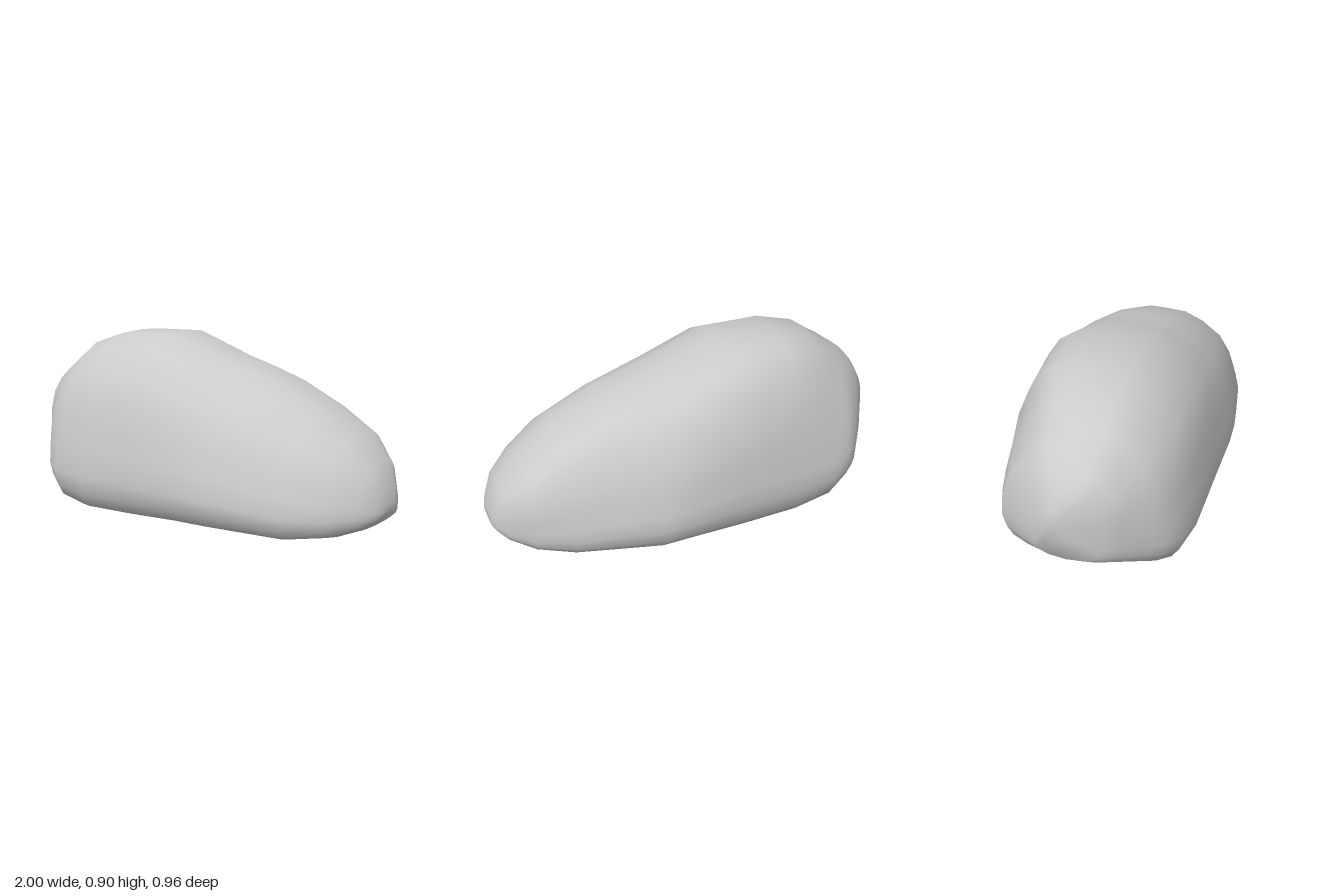
import * as THREE from 'three';

// Stations along the boulder: x, bottom y, top y, back z, front z,
// sideways lean of the top, narrowing of the top
const STATIONS = [
  [-1.0, 0.34, 0.52, -0.13, -0.01, 0.02, 0],
  [-0.96, 0.21, 0.61, -0.2, 0.13, 0.04, 0.05],
  [-0.91, 0.165, 0.67, -0.28, 0.21, 0.05, 0.1],
  [-0.81, 0.1, 0.745, -0.41, 0.33, 0.05, 0.22],
  [-0.76, 0.07, 0.775, -0.435, 0.38, 0.045, 0.25],
  [-0.67, 0.03, 0.84, -0.465, 0.43, 0.03, 0.22],
  [-0.47, 0.0, 0.9, -0.472, 0.46, 0, 0.05],
  [-0.17, 0.005, 0.9, -0.48, 0.47, 0, 0],
  [0.1, 0.02, 0.8, -0.485, 0.48, 0, 0.08],
  [0.26, 0.02, 0.755, -0.48, 0.475, 0, 0.14],
  [0.42, 0.02, 0.705, -0.425, 0.455, -0.01, 0.14],
  [0.66, 0.02, 0.59, -0.34, 0.42, -0.03, 0.08],
  [0.83, 0.04, 0.475, -0.255, 0.335, -0.06, 0],
  [0.94, 0.08, 0.36, -0.16, 0.235, -0.04, 0],
  [0.985, 0.115, 0.25, -0.09, 0.15, -0.02, 0],
  [1.0, 0.14, 0.19, -0.06, 0.1, 0, 0],
];

// Cross-section, from the flat underside up the front, over the crown and down the back:
// sideways -1..1, height 0..1
const PROFILE = [
  [0, 0], [0.5, 0], [0.87, 0.04], [0.95, 0.11], [1, 0.21], [0.96, 0.36], [0.92, 0.48], [0.87, 0.62],
  [0.75, 0.78], [0.5, 0.915], [0.24, 0.99], [-0.05, 1], [-0.32, 1], [-0.54, 0.96], [-0.67, 0.91],
  [-0.79, 0.81], [-0.92, 0.64], [-0.96, 0.46], [-0.99, 0.32], [-1, 0.21], [-0.95, 0.11], [-0.87, 0.04], [-0.5, 0],
];

function boulderGeometry() {
  const n = PROFILE.length, last = STATIONS.length - 1;
  const positions = [], index = [];
  for (const [x, y0, y1, z0, z1, lean, narrow] of STATIONS) {
    // Toward the ends the section becomes rounder, more so at the tall end
    const round = (x < 0 ? 0.4 : 0.15) * THREE.MathUtils.smoothstep(Math.abs(x), 0.6, 1);
    for (const [u, v] of PROFILE) {
      const a = Math.atan2(2 * v - 1, u);
      const su = THREE.MathUtils.lerp(u, Math.cos(a), round);
      const sv = THREE.MathUtils.lerp(v, 0.5 + 0.5 * Math.sin(a), round);
      const halfWidth = (z1 - z0) / 2 * (1 - narrow * sv * sv);
      positions.push(x, y0 + (y1 - y0) * sv, (z0 + z1) / 2 + su * halfWidth + lean * sv * sv);
    }
  }
  // Centre points for the two small end facets
  for (const i of [0, last]) {
    const [x, y0, y1, z0, z1] = STATIONS[i];
    positions.push(x, (y0 + y1) / 2, (z0 + z1) / 2);
  }
  const startCentre = (last + 1) * n, endCentre = startCentre + 1;
  for (let j = 0; j < n; j++) {
    const k = (j + 1) % n;
    for (let i = 0; i < last; i++) {
      const a = i * n + j, b = a + n, c = (i + 1) * n + k, d = i * n + k;
      index.push(a, b, c, a, c, d);
    }
    index.push(startCentre, j, k, endCentre, last * n + k, last * n + j);
  }
  const geometry = new THREE.BufferGeometry();
  geometry.setAttribute('position', new THREE.Float32BufferAttribute(positions, 3));
  geometry.setIndex(index);
  geometry.computeVertexNormals();
  return geometry;
}

export function createModel() {
  const group = new THREE.Group();
  group.name = 'rock';
  const boulder = new THREE.Mesh(boulderGeometry(), new THREE.MeshStandardMaterial({ color: 0xcccccc }));
  boulder.name = 'boulder';
  group.add(boulder);
  return group;
}
